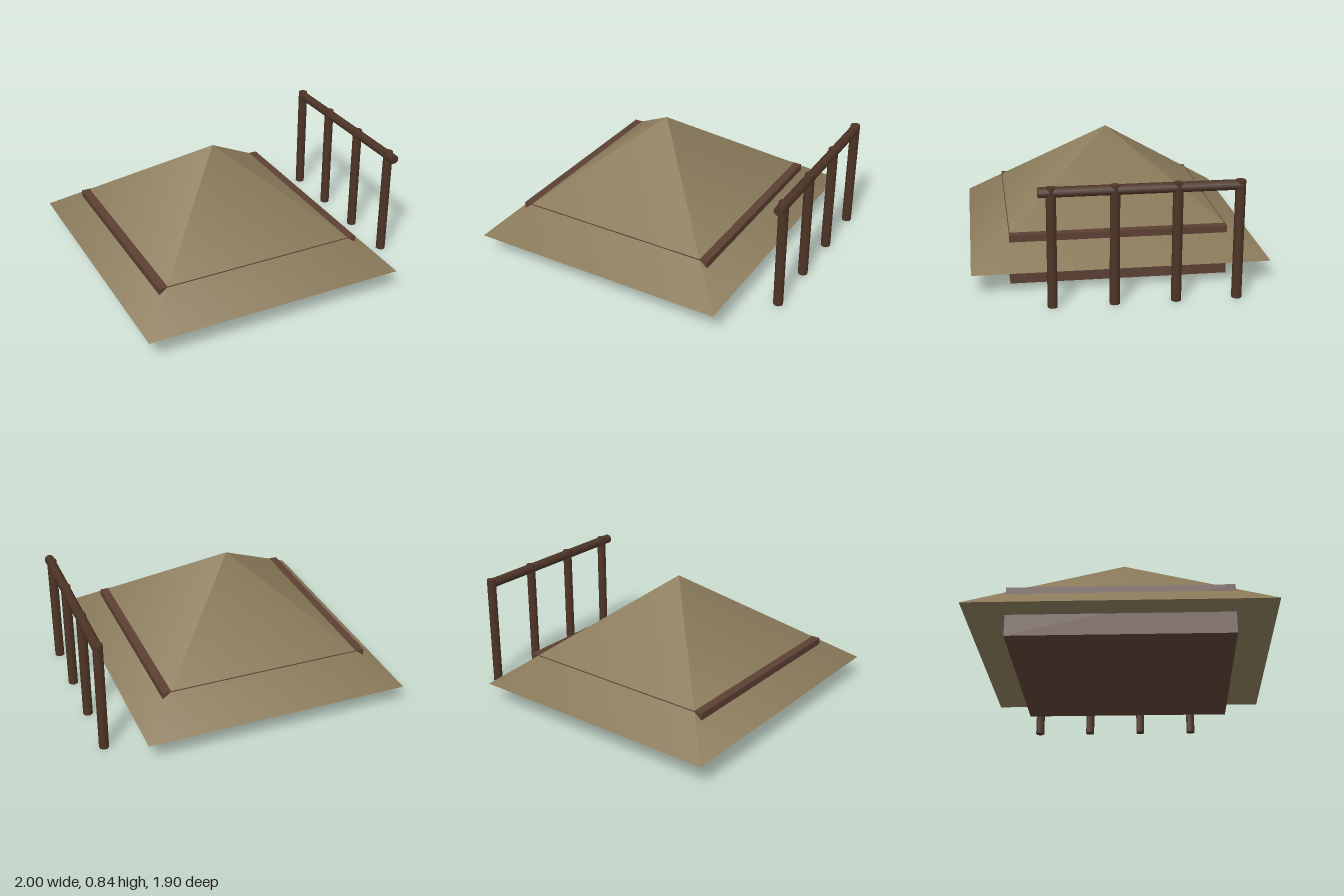
import * as THREE from 'three';

const material = (color) => new THREE.MeshStandardMaterial({ color });

export function createModel() {
  const model = new THREE.Group();
  const thatch = material(0x8b7b5b);
  const wall = material(0x5c4033);
  const wood = material(0x4d3426);

  const add = (parent, name, geometry, mat, x, y, z) => {
    const mesh = new THREE.Mesh(geometry, mat);
    mesh.name = name;
    mesh.position.set(x, y, z);
    parent.add(mesh);
    return mesh;
  };

  // Hut: low square base whose top edge pokes through a four-sided roof
  const hut = new THREE.Group();
  hut.name = 'hut';
  hut.position.x = -0.12;
  model.add(hut);
  add(hut, 'base', new THREE.BoxGeometry(1.406, 0.326, 1.406), wall, 0, 0.163, 0);
  const roof = new THREE.ConeGeometry(Math.SQRT2, 0.7, 4)
    .rotateY(Math.PI / 4)
    .scale(0.88, 1, 0.95);
  add(hut, 'roof', roof, thatch, 0, 0.49, 0);

  // Fence: a row of posts joined by a top rail
  const fence = new THREE.Group();
  fence.name = 'fence';
  fence.position.x = 0.97;
  model.add(fence);
  const pole = (length) =>
    new THREE.CylinderGeometry(0.032, 0.032, length, 8).rotateY(Math.PI / 8);
  for (let i = 0; i < 4; i++) {
    add(fence, 'post', pole(0.76), wood, 0, 0.38, 0.465 - i * 0.38);
  }
  add(fence, 'rail', pole(1.225).rotateX(Math.PI / 2), wood, 0, 0.73, -0.07);

  return model;
}
